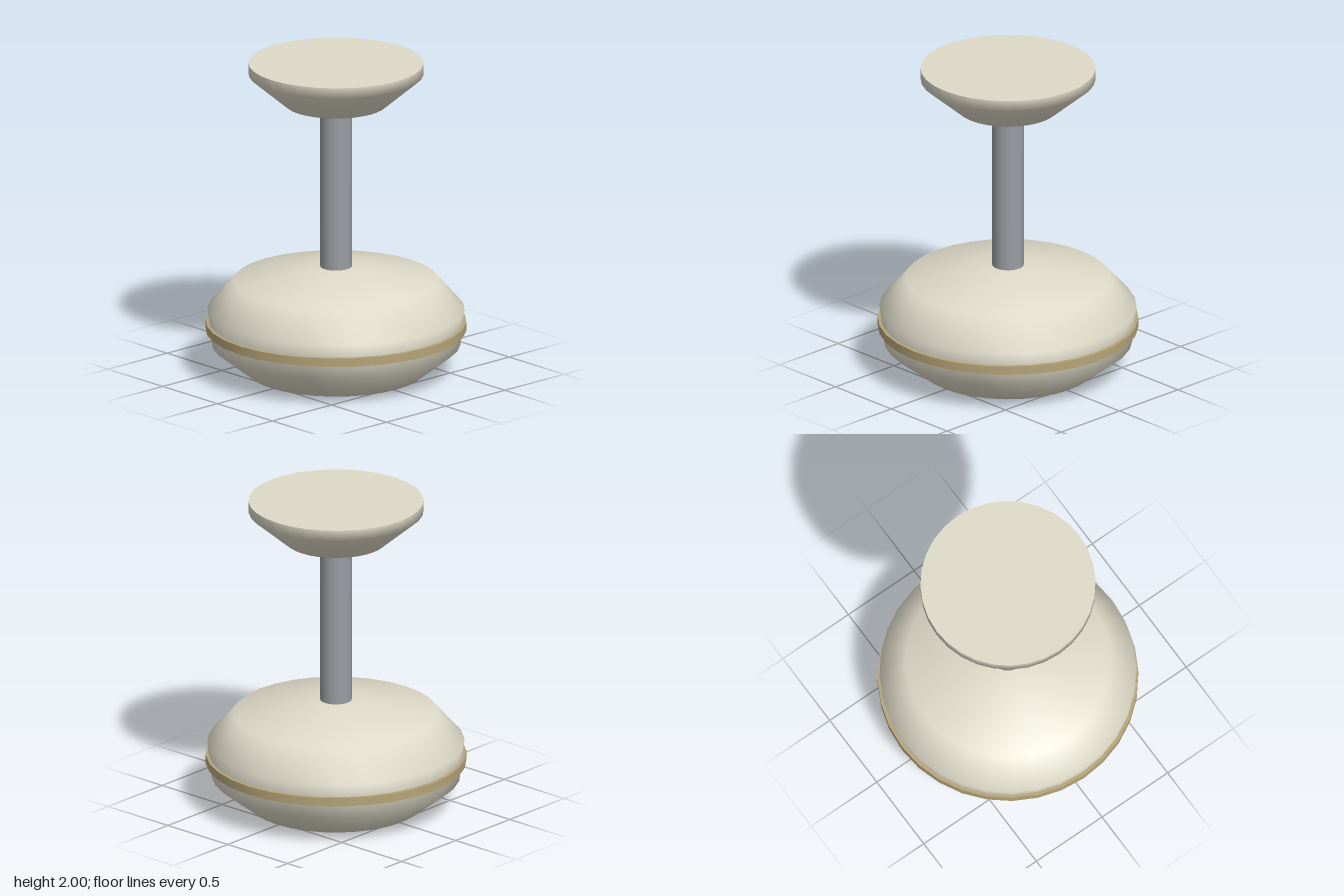
import * as THREE from 'three';

const SEGMENTS = 32;

export function createModel() {
  const model = new THREE.Group();
  const cream = new THREE.MeshStandardMaterial({ color: 0xdedac8 });
  const steel = new THREE.MeshStandardMaterial({ color: 0x999da1 });
  const brass = new THREE.MeshStandardMaterial({ color: 0xb5a478 });

  function add(name, geometry, material, y = 0) {
    const mesh = new THREE.Mesh(geometry, material);
    mesh.name = name;
    mesh.position.y = y;
    model.add(mesh);
    return mesh;
  }

  // Turned part from [radius, height] pairs, listed bottom to top
  const turned = (profile) =>
    new THREE.LatheGeometry(profile.map(([r, y]) => new THREE.Vector2(r, y)), SEGMENTS);

  // Bulging base body
  add('baseBody', turned([
    [0, 0], [0.545, 0.005], [0.772, 0.185], [0.797, 0.41],
    [0.635, 0.595], [0.18, 0.685], [0, 0.685],
  ]), cream);

  // Trim band around the base
  add('trimBand', new THREE.CylinderGeometry(0.808, 0.808, 0.055, SEGMENTS), brass, 0.303);

  // Central rod with a softened top edge
  add('rod', turned([
    [0.098, 0.64], [0.098, 1.685], [0.094, 1.695], [0.085, 1.7], [0, 1.7],
  ]), steel);

  // Floating bowl-shaped head with a flat, crisp-edged top
  add('headBowl', turned([
    [0, 1.715], [0.315, 1.735], [0.543, 1.93], [0.543, 2],
  ]), cream);
  const top = add('headTop', new THREE.CircleGeometry(0.543, SEGMENTS), cream, 2);
  top.rotation.x = -Math.PI / 2;

  return model;
}
